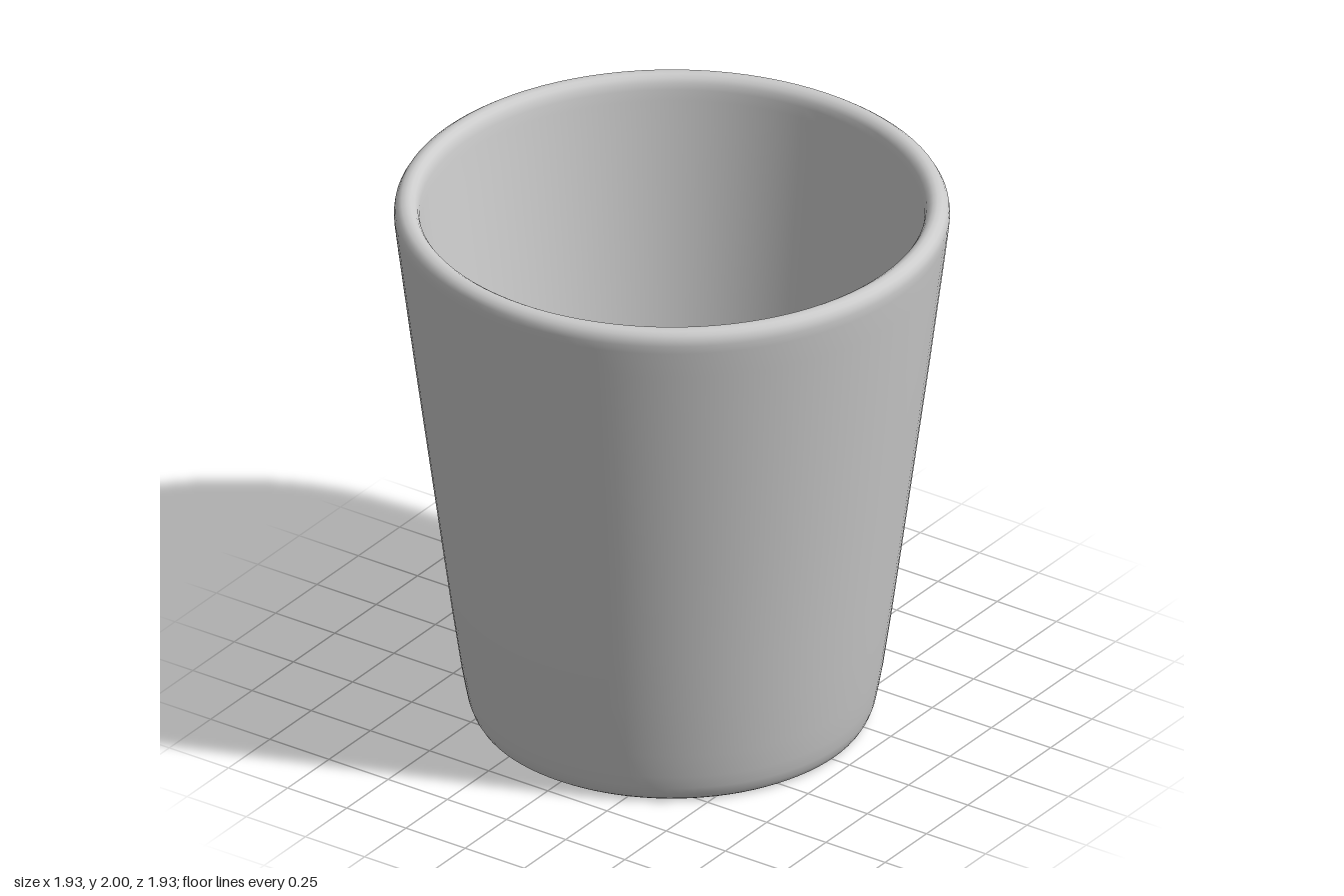
import * as THREE from 'three';

const SEGMENTS = 96;

export function createModel() {
  const group = new THREE.Group();
  group.name = 'cup';
  const material = new THREE.MeshStandardMaterial({ color: 0xcccccc });

  const addLathe = (name, points) => {
    const profile = points.map(([r, y]) => new THREE.Vector2(r, y));
    const mesh = new THREE.Mesh(new THREE.LatheGeometry(profile, SEGMENTS), material);
    mesh.name = name;
    group.add(mesh);
  };

  // Tapered wall: up the outside, over the rounded rim, down the inside
  addLathe('wall', [
    [0.67, 0], [0.685, 0.01], [0.697, 0.03], [0.708, 0.06], [0.718, 0.11],
    [0.734, 0.2], [0.763, 0.4], [0.79, 0.6], [0.843, 1], [0.896, 1.4], [0.949, 1.82],
    [0.961, 1.92], [0.963, 1.95], [0.96, 1.97], [0.951, 1.986], [0.937, 1.996],
    [0.92, 2], [0.905, 1.997], [0.891, 1.988], [0.881, 1.973], [0.875, 1.95],
    [0.87, 1.91], [0.856, 1.8], [0.804, 1.4], [0.752, 1], [0.7, 0.6], [0.66, 0.3], [0.622, 0.1],
  ]);

  // Flat inner floor and underside, each meeting the wall at a sharp edge
  addLathe('innerFloor', [[0.622, 0.1], [0, 0.1]]);
  addLathe('base', [[0, 0], [0.67, 0]]);

  return group;
}
